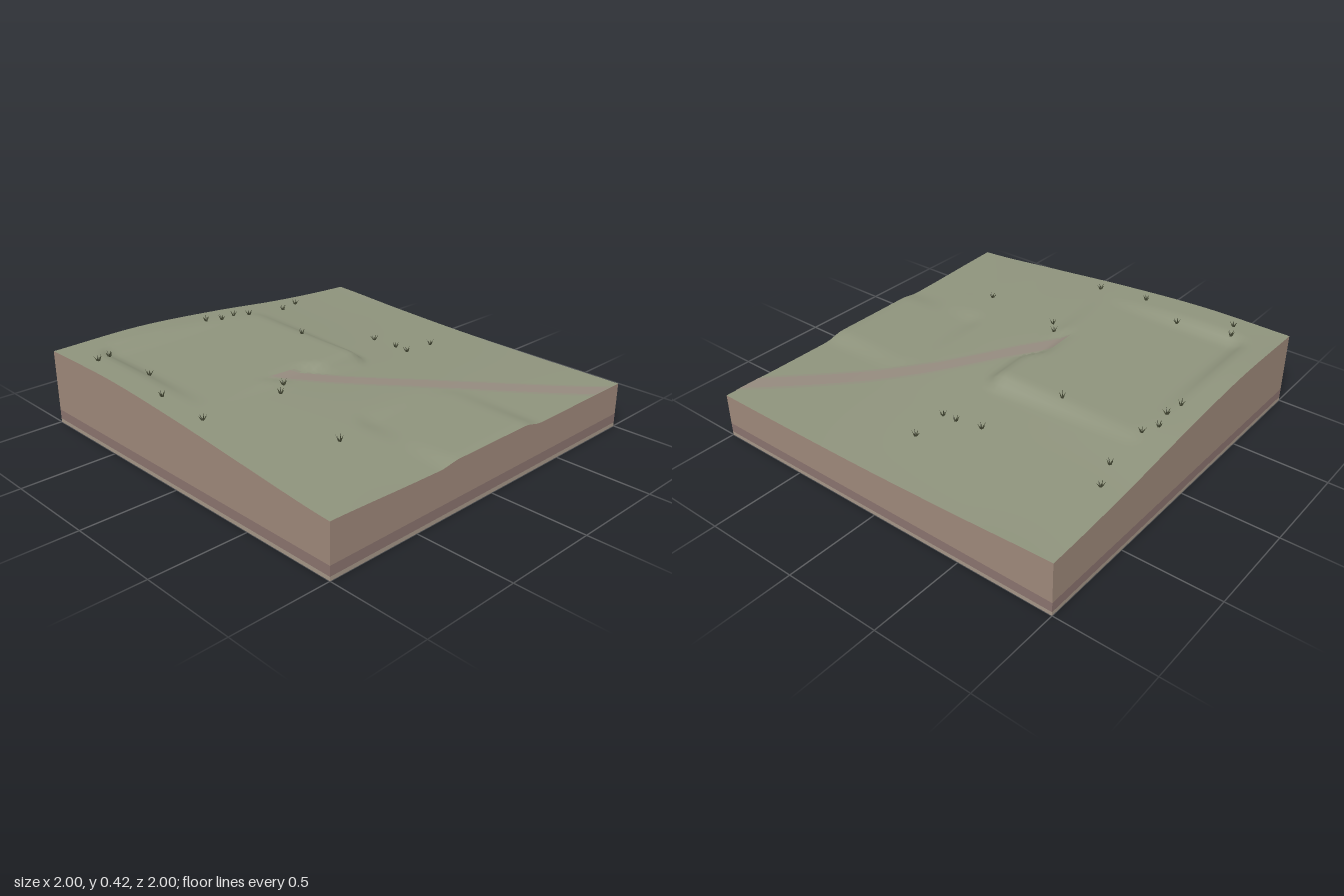
import * as THREE from 'three';
import { mergeGeometries } from 'three/addons/utils/BufferGeometryUtils.js';

const N = 64;
const { smoothstep, lerp } = THREE.MathUtils;
const mat = (color, side = THREE.FrontSide) => new THREE.MeshStandardMaterial({ color, side, roughness: 1 });

// Smooth curve through evenly spaced values over -1..1
function profile(values) {
  const curve = new THREE.SplineCurve(values.map((v, i) => new THREE.Vector2(i, v)));
  return (p) => curve.getPoint((p + 1) / 2).y;
}
const leftEdge = profile([0.39, 0.389, 0.357, 0.31, 0.267]);
const rightEdge = profile([0.28, 0.258, 0.242, 0.236, 0.235]);
const backEdge = profile([0.39, 0.394, 0.36, 0.31, 0.28]);
const frontEdge = profile([0.267, 0.25, 0.238, 0.235, 0.235]);

// Hillside blended from its four edge profiles
function hill(x, z) {
  const s = (x + 1) / 2, t = (z + 1) / 2;
  const across = lerp(leftEdge(z), rightEdge(z), s);
  const along = lerp(backEdge(x), frontEdge(x), t);
  const corners = lerp(lerp(0.39, 0.28, s), lerp(0.267, 0.235, s), t);
  return across + along - corners;
}

// Levelled building pads: flat rectangle, height and bank width
const pads = [
  { x0: -0.76, x1: 0.13, z0: -0.79, z1: -0.05, y: 0.352, bank: 0.1 },
  { x0: -0.24, x1: 0.22, z0: 0.54, z1: 0.96, y: 0.264, bank: 0.13 },
];

// Centre line of the path as [z, x]
const pathPoints = [[-0.1, -0.32], [0.1, -0.1], [0.35, 0.22], [0.55, 0.44], [0.75, 0.63], [1, 0.86]];
function pathX(z) {
  const i = Math.max(0, Math.min(pathPoints.length - 2, pathPoints.findIndex((p) => p[0] >= z) - 1));
  const [a, b] = [pathPoints[i], pathPoints[i + 1]];
  return lerp(a[1], b[1], (z - a[0]) / (b[0] - a[0]));
}

function height(x, z) {
  const base = hill(x, z);
  let y = base;
  for (const p of pads) {
    const dx = Math.max(p.x0 - x, x - p.x1, 0), dz = Math.max(p.z0 - z, z - p.z1, 0);
    y = lerp(p.y, y, smoothstep(Math.hypot(dx, dz), 0, p.bank));
  }
  // The path cuts a ramp through the bank
  const cut = (1 - smoothstep(Math.abs(x - pathX(z)), 0.09, 0.16)) * smoothstep(z, -0.12, -0.04);
  return lerp(y, base, cut);
}

// Grid surface from point(u, v), with u and v in 0..1
function surface(nu, nv, point) {
  const g = new THREE.PlaneGeometry(1, 1, nu, nv);
  const pos = g.attributes.position;
  for (let i = 0; i < pos.count; i++) {
    pos.setXYZ(i, ...point(pos.getX(i) + 0.5, 0.5 - pos.getY(i)));
  }
  g.computeVertexNormals();
  return g;
}

// One soil band around all four sides
function soilBand(bottom, top) {
  const sides = [
    (u) => [u, 1], (u) => [1, -u], (u) => [-u, -1], (u) => [-1, u],
  ];
  return mergeGeometries(sides.map((side) => surface(N, 1, (u, v) => {
    const [x, z] = side(u * 2 - 1);
    return [x, v < 0.5 ? top(x, z) : bottom, z];
  })));
}

// Ribbon of path lying on the ground
function pathRibbon(half, lift) {
  return surface(6, 90, (u, v) => {
    const z = lerp(-0.08, 1, v);
    const x = pathX(z) + (u * 2 - 1) * half;
    return [x, height(x, z) + lift, z];
  });
}

// Grass tuft of pointed blades leaning outward
function tuftGeometry(turn) {
  const blades = [];
  for (let i = 0; i < 5; i++) {
    const g = new THREE.ConeGeometry(0.0045, 0.036 - 0.004 * (i % 2), 3);
    g.translate(0, 0.015, 0);
    g.rotateZ(-0.4 - 0.12 * (i % 3));
    g.translate(0.004, 0, 0);
    g.rotateY(turn + (i * Math.PI * 2) / 5);
    blades.push(g);
  }
  return mergeGeometries(blades);
}

export function createModel() {
  const model = new THREE.Group();
  const add = (name, geometry, material) => {
    const mesh = new THREE.Mesh(geometry, material);
    mesh.name = name;
    model.add(mesh);
    return mesh;
  };

  // Ground and path
  add('grassGround', surface(N, N, (u, v) => {
    const x = u * 2 - 1, z = v * 2 - 1;
    return [x, height(x, z), z];
  }), mat(0x8e937c));
  add('pathVerge', pathRibbon(0.085, 0.0015), mat(0x908f7d));
  add('dirtPath', pathRibbon(0.06, 0.0025), mat(0x948a7e));

  // Soil layers
  add('topSoil', soilBand(0.07, height), mat(0x9e887a));
  add('middleSoil', soilBand(0.02, () => 0.07), mat(0x8a736e));
  add('bottomSoil', soilBand(0, () => 0.02), mat(0xa59687));
  const base = new THREE.PlaneGeometry(2, 2);
  base.rotateX(Math.PI / 2);
  add('underside', base, mat(0x8a8276));

  // Grass tufts, as [x, z]
  const tufts = new THREE.Group();
  tufts.name = 'grassTufts';
  const blade = mat(0x474b36);
  const spots = [
    [-0.91, -0.73], [-0.83, -0.76], [-0.8, -0.46], [-0.91, -0.2], [-0.9, 0.09], [-0.44, 0.08],
    [-0.37, 0.02], [-0.53, 0.57], [-0.14, -0.88], [-0.05, -0.86], [0.05, -0.88], [0.13, -0.84],
    [0.38, -0.84], [0.52, -0.89], [0.13, -0.4], [0.48, -0.2], [0.5, -0.06], [0.5, 0.02], [0.69, 0.02],
  ];
  spots.forEach(([x, z], i) => {
    const tuft = new THREE.Mesh(tuftGeometry(i * 1.7), blade);
    tuft.name = 'grassTuft';
    tuft.position.set(x, height(x, z), z);
    tufts.add(tuft);
  });
  model.add(tufts);
  return model;
}
